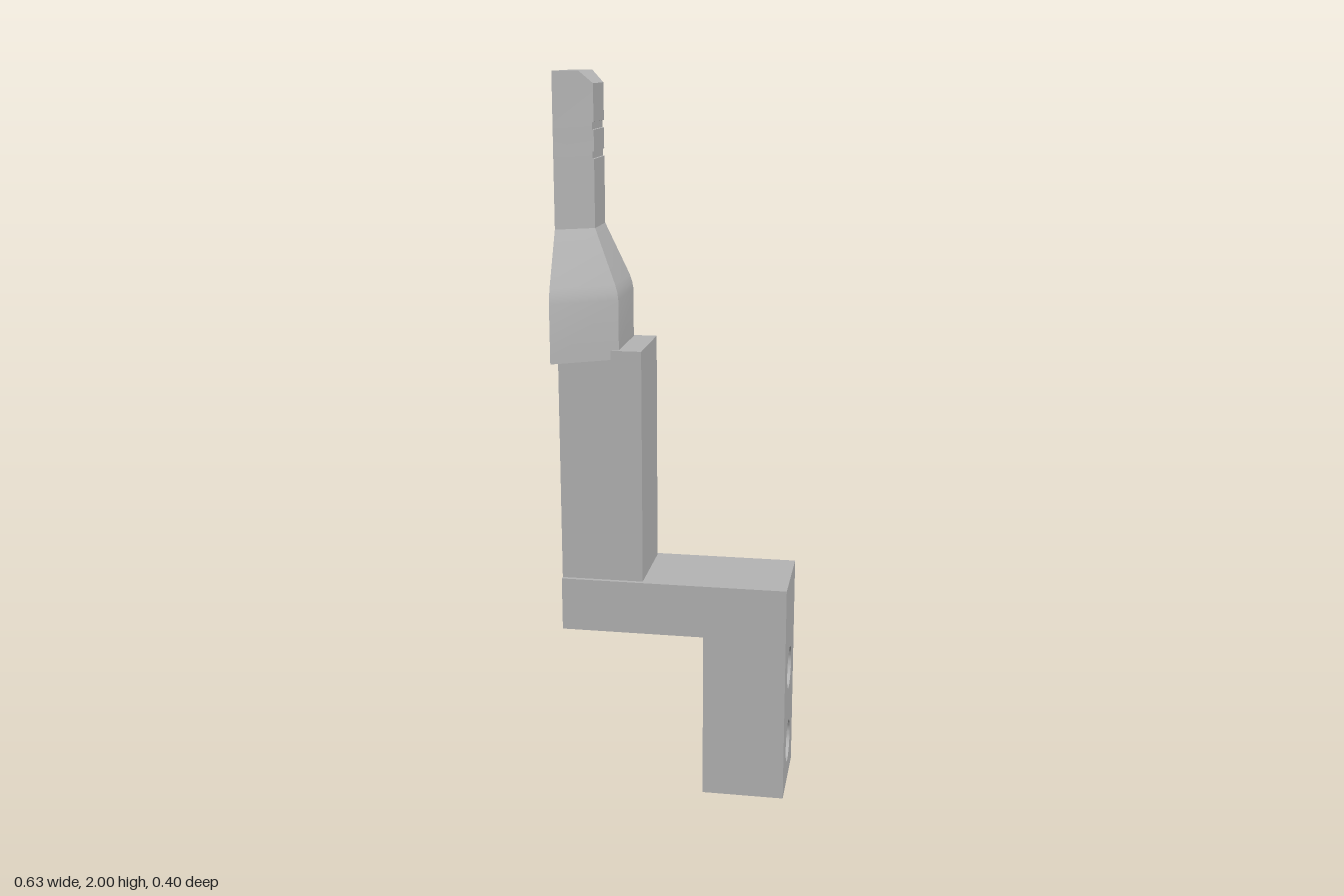
import * as THREE from 'three';
import { toCreasedNormals } from 'three/addons/utils/BufferGeometryUtils.js';

const BACK = -0.315; // shared flat back plane

// Loft of trapezoid sections [y, frontX, frontHalfWidth, backHalfWidth]
function loftTrapezoids(sections) {
  const positions = [];
  const index = [];
  for (const [y, x, hf, hb] of sections) {
    positions.push(BACK, y, hb, x, y, hf, x, y, -hf, BACK, y, -hb);
  }
  for (let s = 0; s < sections.length - 1; s++) {
    for (let i = 0; i < 4; i++) {
      const a = s * 4 + i, b = s * 4 + (i + 1) % 4;
      index.push(a, b, b + 4, a, b + 4, a + 4);
    }
  }
  const t = (sections.length - 1) * 4;
  index.push(2, 1, 0, 3, 2, 0, t, t + 1, t + 2, t, t + 2, t + 3);
  const geometry = new THREE.BufferGeometry();
  geometry.setAttribute('position', new THREE.Float32BufferAttribute(positions, 3));
  geometry.setIndex(index);
  return toCreasedNormals(geometry, 0.25);
}

export function createModel() {
  const group = new THREE.Group();
  const grey = new THREE.MeshStandardMaterial({ color: 0xb4b4b4 });
  grey.name = 'plain grey';

  const add = (name, geometry) => {
    const mesh = new THREE.Mesh(geometry, grey);
    mesh.name = name;
    group.add(mesh);
    return mesh;
  };
  const addBox = (name, x0, x1, y0, y1, depth) =>
    add(name, new THREE.BoxGeometry(x1 - x0, y1 - y0, depth))
      .position.set((x0 + x1) / 2, (y0 + y1) / 2, 0);

  // Mounting leg with two through holes
  const leg = new THREE.Shape();
  leg.moveTo(-0.127, 0).lineTo(0.127, 0).lineTo(0.127, 0.625).lineTo(-0.127, 0.625).closePath();
  for (const y of [0.118, 0.347]) {
    leg.holes.push(new THREE.Path().absarc(0, y, 0.06, 0, Math.PI * 2, true));
  }
  const legGeometry = new THREE.ExtrudeGeometry(leg, { depth: 0.23, bevelEnabled: false, curveSegments: 24 });
  legGeometry.rotateY(Math.PI / 2).translate(0.085, 0, 0);
  add('mountingLeg', toCreasedNormals(legGeometry, 0.5));

  // Horizontal arm and upright post
  addBox('arm', BACK, 0.085, 0.475, 0.625, 0.254);
  addBox('post', BACK, -0.087, 0.625, 1.275, 0.23);

  // Tapered fingertip: wide foot, softened shoulder, slim grooved blade, chamfered tip
  const blade = (y, inset = 0) => [y, -0.219 - inset, 0.063 + inset * 0.577, 0.118];
  const sections = [
    [1.25, -0.15, 0.103, 0.198],
    [1.41, -0.15, 0.103, 0.198],
    [1.43, -0.153, 0.101, 0.194],
    [1.45, -0.159, 0.098, 0.188],
    blade(1.595),
  ];
  for (const y of [1.775, 1.85]) {
    sections.push(blade(y), blade(y + 0.001, 0.004), blade(y + 0.019, 0.004), blade(y + 0.02));
  }
  sections.push(blade(1.968), blade(2, 0.034));
  add('fingertip', loftTrapezoids(sections));

  return group;
}
